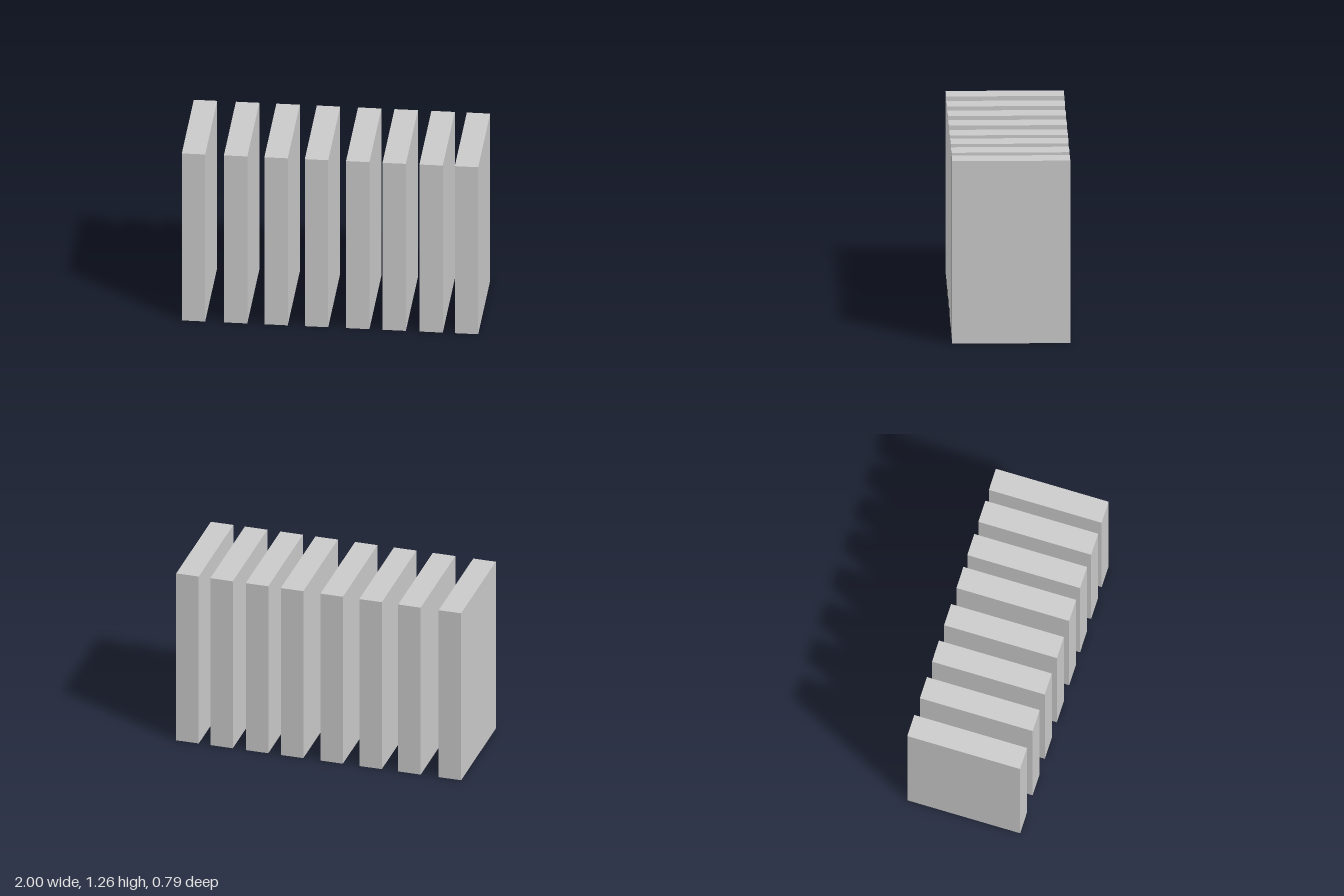
import * as THREE from 'three';

// Slab size and the x centre of each slab in the row
const WIDTH = 0.158, HEIGHT = 1.26, DEPTH = 0.793;
const CENTRES = [-0.921, -0.637, -0.364, -0.091, 0.187, 0.433, 0.682, 0.921];

export function createModel() {
  const model = new THREE.Group();
  model.name = 'slabRow';
  const material = new THREE.MeshStandardMaterial({ color: 0xcccccc });
  const geometry = new THREE.BoxGeometry(WIDTH, HEIGHT, DEPTH);

  // Upright slabs, unevenly spaced from right to left
  CENTRES.forEach((x, i) => {
    const slab = new THREE.Mesh(geometry, material);
    slab.name = `slab${i + 1}`;
    slab.position.set(x, HEIGHT / 2, 0);
    model.add(slab);
  });
  return model;
}
